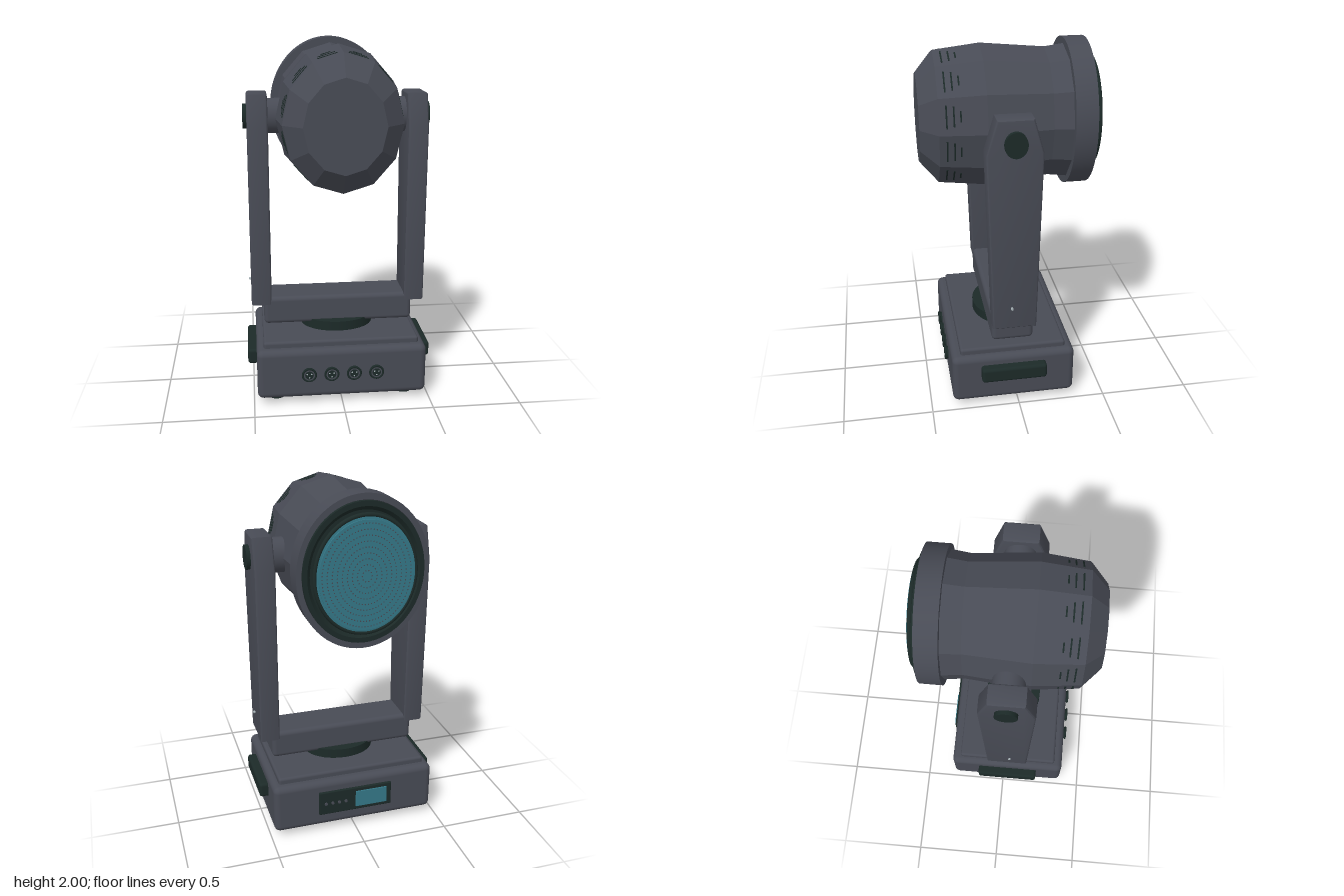
import * as THREE from 'three';
import { mergeGeometries, toCreasedNormals } from 'three/addons/utils/BufferGeometryUtils.js';
import { RoundedBoxGeometry } from 'three/addons/geometries/RoundedBoxGeometry.js';

const TILT_Y = 1.592; // height of the tilt axis
const MID_Z = 0.028; // depth of the pan and tilt axes
const OVAL = 0.87; // the round parts are narrower than tall

function paint(name, hex) {
  const m = new THREE.MeshStandardMaterial({ color: hex });
  m.name = name;
  return m;
}

export function createModel() {
  const model = new THREE.Group();
  model.name = 'movingHeadLight';
  const grey = paint('housingGrey', 0x484b55);
  const dark = paint('darkTrim', 0x1c2a28);
  const teal = paint('tealGlass', 0x357888);
  const pale = paint('paleMetal', 0xa9b4b8);

  function add(name, geo, mat, x = 0, y = 0, z = 0, parent = model) {
    const mesh = new THREE.Mesh(geo, mat);
    mesh.name = name;
    mesh.position.set(x, y, z);
    parent.add(mesh);
    return mesh;
  }
  // Rounded box given by its limits on each axis
  function block(name, mat, [x0, x1], [y0, y1], [z0, z1], r) {
    const geo = new RoundedBoxGeometry(x1 - x0, y1 - y0, z1 - z0, 4, r);
    return add(name, geo, mat, (x0 + x1) / 2, (y0 + y1) / 2, (z0 + z1) / 2);
  }
  // Lathe along the depth axis from [radius, z] pairs listed front to back
  function turned(points, segments) {
    const geo = new THREE.LatheGeometry(points.map(([r, z]) => new THREE.Vector2(r, -z)), segments);
    return geo.rotateX(-Math.PI / 2).scale(OVAL, 1, 1);
  }

  // Base
  block('base', grey, [-0.48, 0.48], [0.035, 0.325], [-0.325, 0.377], 0.035);
  block('baseTopPlate', grey, [-0.44, 0.44], [0.29, 0.36], [-0.275, 0.327], 0.015);
  for (const x of [-0.37, 0.37]) {
    for (const z of [-0.213, 0.267]) {
      add('foot', new THREE.CylinderGeometry(0.045, 0.042, 0.05, 20).scale(1, 1, 0.85), dark, x, 0.025, z);
    }
  }
  for (const s of [-1, 1]) {
    const xs = s > 0 ? [0.45, 0.53] : [-0.53, -0.45];
    block('carryHandle', dark, xs, [0.182, 0.27], [-0.156, 0.215], 0.017);
  }

  // Front sockets with three pins each
  for (let i = 0; i < 4; i++) {
    const socket = new THREE.Group();
    socket.name = 'socket';
    socket.position.set(-0.19 + i * 0.127, 0.183, 0.38);
    model.add(socket);
    const disc = new THREE.CylinderGeometry(0.038, 0.038, 0.03, 24).rotateX(Math.PI / 2);
    add('socketBody', disc, dark, 0, 0, 0, socket);
    add('socketRim', new THREE.TorusGeometry(0.037, 0.006, 8, 28), dark, 0, 0, 0.012, socket);
    add('socketFace', new THREE.RingGeometry(0.024, 0.031, 24), grey, 0, 0, 0.0165, socket);
    for (let k = 0; k < 3; k++) {
      const a = Math.PI / 6 + (k * Math.PI * 2) / 3;
      add('pin', new THREE.CircleGeometry(0.0045, 8), pale, 0.014 * Math.cos(a), 0.014 * Math.sin(a), 0.017, socket);
    }
  }

  // Rear control panel
  block('controlPanel', dark, [-0.22, 0.22], [0.115, 0.262], [-0.338, -0.31], 0.006);
  block('screen', teal, [-0.19, 0], [0.138, 0.24], [-0.344, -0.335], 0.002);
  for (let i = 0; i < 4; i++) {
    const button = new THREE.CylinderGeometry(0.009, 0.009, 0.008, 12).rotateX(Math.PI / 2);
    add('button', button, grey, 0.06 + i * 0.04, 0.187, -0.34);
  }

  // Pan turntable and yoke
  add('panTurntable', new THREE.CylinderGeometry(0.21, 0.21, 0.06, 40).scale(1, 1, 0.82), dark, 0, 0.385, MID_Z);
  block('yokeCrossbar', grey, [-0.43, 0.43], [0.395, 0.557], [-0.09, 0.145], 0.025);

  const armShape = new THREE.Shape([
    [-0.148, 0.515], [0.094, 0.515], [0.12, 1.535], [0.067, 1.72], [-0.123, 1.72], [-0.178, 1.535],
  ].map(([x, y]) => new THREE.Vector2(x, y)));
  const bevel = 0.014;
  const armGeo = toCreasedNormals(new THREE.ExtrudeGeometry(armShape, {
    depth: 0.115 - 2 * bevel, bevelThickness: bevel, bevelSize: bevel, bevelOffset: -bevel, bevelSegments: 3,
  }).translate(0, 0, bevel - 0.0575).rotateY(Math.PI / 2), 0.5);
  // Cylinder lying across the model
  const crossways = (r, len) =>
    new THREE.CylinderGeometry(r, r, len, 28).rotateZ(Math.PI / 2).scale(1, 1, OVAL);
  for (const s of [-1, 1]) {
    add('yokeArm', armGeo, grey, s * 0.4425, 0, 0);
    add('tiltAxle', crossways(0.098, 0.14), grey, s * 0.325, TILT_Y, MID_Z);
    add('tiltCap', crossways(0.069, 0.04), dark, s * 0.502, TILT_Y, MID_Z);
    add('armScrew', crossways(0.008, 0.02), pale, s * 0.501, 0.645, 0.045);
  }

  // Head
  const head = new THREE.Group();
  head.name = 'head';
  head.position.y = TILT_Y;
  model.add(head);
  const shell = turned([
    [0, 0.485], [0.25, 0.485], [0.367, 0.39], [0.396, 0.14], [0.362, -0.21], [0.378, -0.33],
  ], 12).toNonIndexed();
  shell.computeVertexNormals();
  add('headShell', shell, grey, 0, 0, 0, head);

  // Vent slits: three rows on every facet of the shell
  const slits = [];
  const up = new THREE.Vector3();
  for (const [z, share] of [[0.35, 0.64], [0.312, 0.55], [0.277, 0.3]]) {
    const r = 0.367 + ((0.39 - z) / 0.25) * 0.029;
    for (let i = 0; i < 12; i++) {
      const [a, b] = [i, i + 1].map((k) => {
        const t = (k * Math.PI) / 6;
        return new THREE.Vector3(Math.sin(t) * r * OVAL, Math.cos(t) * r, z);
      });
      const along = b.clone().sub(a);
      const slit = new THREE.BoxGeometry(along.length() * share, 0.006, 0.008);
      up.set(-along.y, along.x, 0).normalize();
      const basis = new THREE.Matrix4().makeBasis(
        along.clone().normalize(), up, new THREE.Vector3(0, 0, 1));
      basis.setPosition(a.add(b).multiplyScalar(0.5));
      slits.push(slit.applyMatrix4(basis));
    }
  }
  add('ventSlits', mergeGeometries(slits), dark, 0, 0, 0, head);

  // Lens surround
  const ring = turned([
    [0.35, -0.315], [0.408, -0.315], [0.408, -0.435], [0.375, -0.435], [0.365, -0.41],
  ], 64);
  add('frontRing', toCreasedNormals(ring, 0.6), grey, 0, 0, 0, head);
  const bezel = turned([[0.372, -0.4], [0.372, -0.448], [0.345, -0.448], [0.325, -0.43], [0, -0.43]], 64);
  add('bezel', toCreasedNormals(bezel, 0.6), dark, 0, 0, 0, head);
  add('lensRim', new THREE.TorusGeometry(0.308, 0.012, 10, 64).scale(OVAL, 1, 1), dark, 0, 0, -0.466, head);
  const lens = turned([[0.305, -0.43], [0.305, -0.474], [0.288, -0.476], [0.288, -0.483], [0, -0.483]], 64);
  add('lens', toCreasedNormals(lens, 0.6), teal, 0, 0, 0, head);

  // Concentric rings of small dimples on the lens
  const dots = [];
  for (let k = 1; k <= 9; k++) {
    const count = k * 10;
    for (let i = 0; i < count; i++) {
      const a = (i / count) * Math.PI * 2;
      const dot = new THREE.CircleGeometry(0.0038, 6).rotateY(Math.PI);
      dots.push(dot.translate(Math.cos(a) * k * 0.03 * OVAL, Math.sin(a) * k * 0.03, -0.485));
    }
  }
  add('lensDimples', mergeGeometries(dots), grey, 0, 0, 0, head);

  return model;
}
